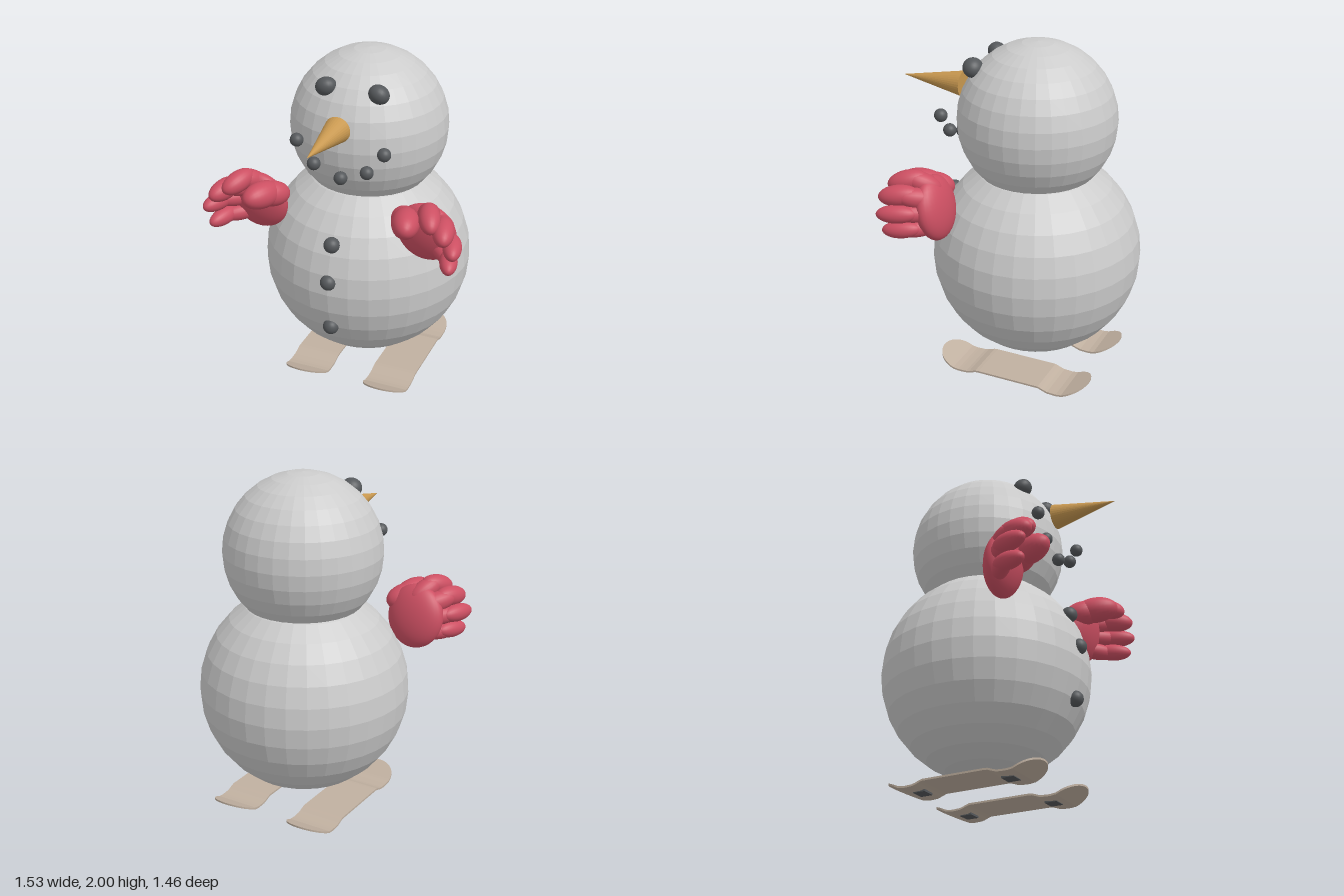
import * as THREE from 'three';

const mat = (color, flatShading = false) => new THREE.MeshStandardMaterial({ color, flatShading });
const V = (x, y, z) => new THREE.Vector3(x, y, z);

export function createModel() {
  const root = new THREE.Group();
  root.name = 'snowman';
  const snow = mat(0xcccccc, true), coal = mat(0x55585b), wool = mat(0xcc4f62);
  const carrot = mat(0xc89850, true), wood = mat(0xc0b0a0, true);

  const add = (name, geometry, material, parent = root) => {
    const mesh = new THREE.Mesh(geometry, material);
    mesh.name = name;
    parent.add(mesh);
    return mesh;
  };
  const ball = (name, r, x, y, z, material, w = 24, h = 16) => {
    const mesh = add(name, new THREE.SphereGeometry(r, w, h), material);
    mesh.position.set(x, y, z);
    return mesh;
  };
  // Ellipsoid whose long axis runs from a to b
  const sausage = (name, a, b, r, parent) => {
    const mesh = add(name, new THREE.SphereGeometry(1, 24, 16), wool, parent);
    const axis = b.clone().sub(a);
    mesh.position.copy(a).add(b).multiplyScalar(0.5);
    mesh.scale.set(r, axis.length() / 2, r);
    mesh.quaternion.setFromUnitVectors(V(0, 1, 0), axis.normalize());
    return mesh;
  };

  // Snowballs
  ball('body', 0.61, 0.005, 0.72, -0.12, snow, 32, 16);
  ball('head', 0.456, 0.01, 1.544, -0.12, snow, 32, 16);

  // Coal eyes, slightly squashed and tilted
  for (const [x, tilt] of [[-0.12, 0.35], [0.19, -0.35]]) {
    const eye = ball('eye', 0.055, x, 1.857, 0.19, coal);
    eye.scale.set(1.1, 0.95, 1.05);
    eye.rotation.set(-0.6, 0, tilt);
  }

  // Coal smile and buttons
  for (const [x, y] of [[-0.23, 1.585], [-0.13, 1.46], [0.03, 1.4], [0.185, 1.46], [0.285, 1.585]])
    ball('mouthCoal', 0.038, x, y, 0.347, coal);
  for (const [y, z] of [[1.012, 0.42], [0.8, 0.475], [0.49, 0.445]])
    ball('button', 0.046, 0.005, y, z, coal);

  // Carrot nose
  const nose = add('nose', new THREE.ConeGeometry(0.075, 0.39, 32), carrot);
  nose.rotation.x = Math.PI / 2;
  nose.position.set(0.012, 1.683, 0.537);

  // Gloves: tilted palm, thumb and four bent fingers (knuckle and tip)
  const fingers = [
    { r: 0.06, p: [[0.49, 1.23, 0.24], [0.59, 1.325, 0.42], [0.53, 1.32, 0.31], [0.615, 1.265, 0.51]] },
    { r: 0.06, p: [[0.53, 1.19, 0.22], [0.69, 1.245, 0.42], [0.62, 1.25, 0.31], [0.69, 1.22, 0.53]] },
    { r: 0.052, p: [[0.55, 1.13, 0.22], [0.73, 1.15, 0.42], [0.67, 1.15, 0.3], [0.74, 1.14, 0.52]] },
    { r: 0.05, p: [[0.53, 1.05, 0.22], [0.71, 1.04, 0.4], [0.65, 1.055, 0.29], [0.715, 1.035, 0.5]] },
  ];
  for (const side of [1, -1]) {
    const glove = new THREE.Group();
    glove.name = side > 0 ? 'leftGlove' : 'rightGlove';
    root.add(glove);
    const at = (p) => V(side * p[0], p[1], p[2]);
    const palm = add('palm', new THREE.SphereGeometry(1, 32, 20), wool, glove);
    palm.position.copy(at([0.51, 1.13, 0.272]));
    palm.scale.set(0.172, 0.187, 0.082);
    palm.rotation.x = 0.2;
    sausage('thumbBase', at([0.34, 1.19, 0.24]), at([0.47, 1.235, 0.42]), 0.075, glove);
    sausage('thumbTip', at([0.39, 1.22, 0.27]), at([0.475, 1.24, 0.525]), 0.078, glove);
    for (const { r, p } of fingers) {
      sausage('fingerKnuckle', at(p[0]), at(p[1]), r, glove);
      sausage('fingerTip', at(p[2]), at(p[3]), r, glove);
    }
  }

  // Skis: a strip with round, upturned ends and a raised middle
  const zFront = 0.372, zBack = -0.578, tip = 0.11;
  const profile = [[-0.578, 0.067], [-0.455, 0.014], [-0.42, 0.009], [-0.36, 0.012], [-0.31, 0.032],
    [0.095, 0.032], [0.15, 0.012], [0.21, 0.009], [0.25, 0.014], [0.372, 0.072]];
  const height = (z) => {
    let i = 0;
    while (i < profile.length - 2 && z > profile[i + 1][0]) i++;
    const [a, b] = [profile[i], profile[i + 1]];
    return a[1] + (b[1] - a[1]) * (z - a[0]) / (b[0] - a[0]);
  };
  for (const x of [-0.239, 0.27]) {
    const ski = new THREE.Group();
    ski.name = 'ski';
    ski.position.x = x;
    root.add(ski);
    const deck = new THREE.BoxGeometry(1, 0.011, 2, 1, 1, 64);
    const pos = deck.attributes.position;
    for (let i = 0; i < pos.count; i++) {
      // Crowd the sections towards both ends for clean round tips
      const t = Math.sin(pos.getZ(i) * Math.PI / 2);
      const z = (zFront + zBack) / 2 + t * (zFront - zBack) / 2;
      const d = Math.min(1, Math.min(zFront - z, z - zBack) / tip);
      const width = 0.266 * Math.sqrt(Math.max(0.0001, 1 - (1 - d) ** 2));
      pos.setXYZ(i, pos.getX(i) * width, pos.getY(i) + height(z), z);
    }
    deck.computeVertexNormals();
    add('deck', deck, wood, ski);
    // Small pads under the contact points
    for (const z of [0.17, -0.38]) {
      const pad = add('pad', new THREE.BoxGeometry(0.085, 0.012, 0.075), coal, ski);
      pad.position.set(0, 0.006, z);
    }
  }
  return root;
}
